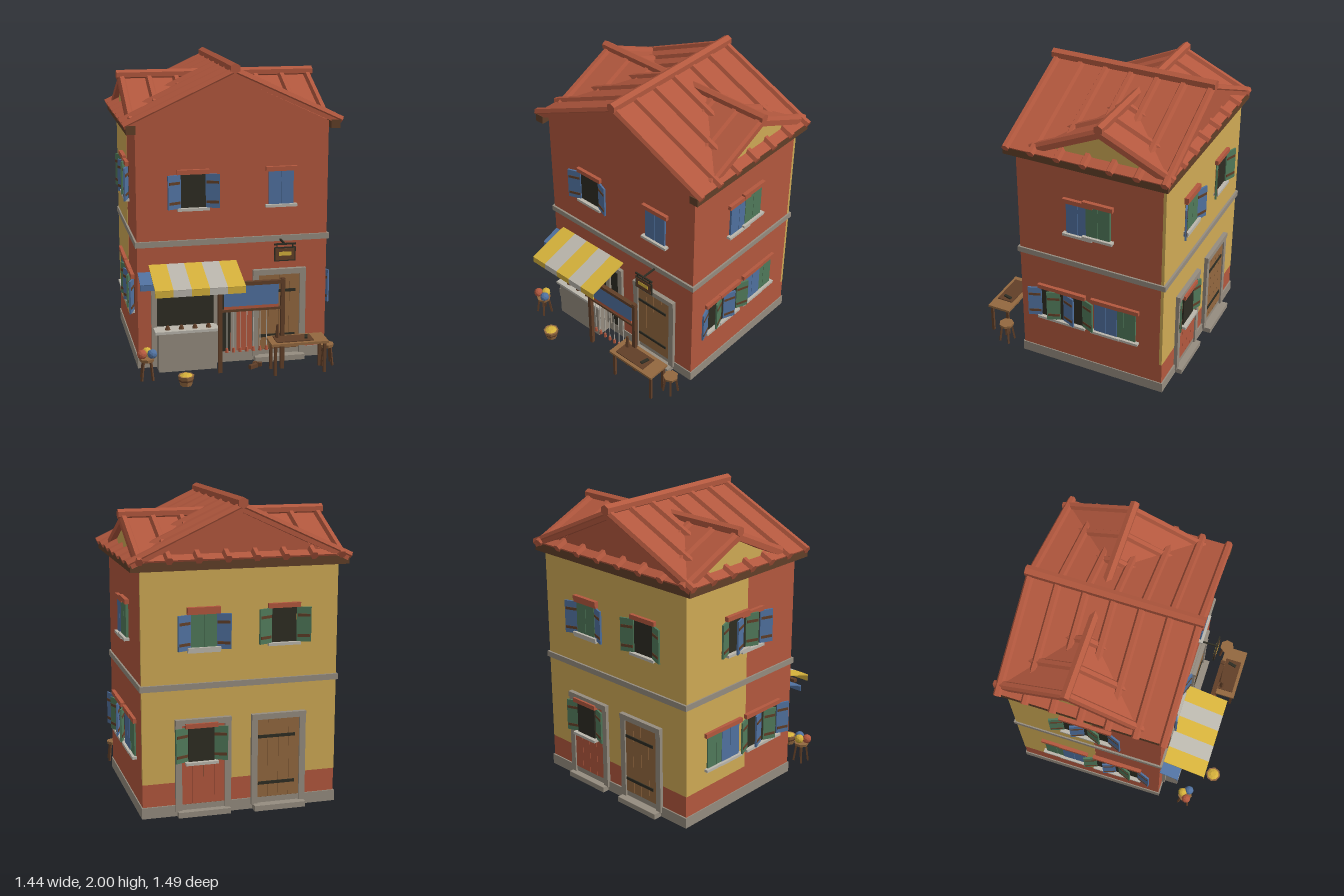
import * as THREE from 'three';

const mat = (name, color, extra = {}) => {
  const m = new THREE.MeshStandardMaterial({ color, ...extra });
  m.name = name;
  return m;
};

export function createModel() {
  const red = mat('terracotta', 0xb3583e), ochre = mat('ochre plaster', 0xcfaa55);
  const yellow = mat('bright yellow', 0xd5b13b), stone = mat('stone', 0x958c7f);
  const pale = mat('pale stone', 0xbab6ac), blue = mat('blue', 0x50719f);
  const green = mat('green', 0x50795a), wood = mat('wood', 0x93683f);
  const dark = mat('dark wood', 0x613f28), black = mat('black', 0x2e2d23);

  const model = new THREE.Group();
  model.name = 'house';
  const group = (name, parent = model) => {
    const g = new THREE.Group();
    g.name = name;
    parent.add(g);
    return g;
  };
  const add = (parent, name, geo, m, x = 0, y = 0, z = 0) => {
    const mesh = new THREE.Mesh(geo, m);
    mesh.name = name;
    mesh.position.set(x, y, z);
    parent.add(mesh);
    return mesh;
  };
  // box from its min and max along each axis
  const box = (parent, name, m, x0, x1, y0, y1, z0, z1) =>
    add(parent, name, new THREE.BoxGeometry(x1 - x0, y1 - y0, z1 - z0), m,
      (x0 + x1) / 2, (y0 + y1) / 2, (z0 + z1) / 2);
  const cyl = (r0, r1, h, n) => new THREE.CylinderGeometry(r0, r1, h, n).toNonIndexed();
  const facet = (geo) => { geo.computeVertexNormals(); return geo; };
  const prism = (pts, depth) =>
    new THREE.ExtrudeGeometry(new THREE.Shape(pts.map((p) => new THREE.Vector2(...p))),
      { depth, bevelEnabled: false });

  // ---- walls ----
  const W = 0.634, F = 0.345, B = -0.68;
  const walls = group('walls');
  add(walls, 'mainWalls', prism([[-W, 0.01], [W, 0.01], [W, 1.61], [0, 1.905], [-W, 1.61]], F + 0.66), red, 0, 0, -0.66);
  box(walls, 'backWall', ochre, -W, W, 0.22, 1.61, B, -0.66);
  box(walls, 'backWallBase', red, -W, W, 0.01, 0.22, B, -0.66);
  box(walls, 'leftWallPatch', ochre, -W - 0.003, -W, 0.22, 1.61, B, -0.12);
  const cross = prism([[-0.68, 1.6], [0.18, 1.6], [-0.25, 1.81]], 2 * W + 0.004);
  cross.rotateY(-Math.PI / 2);
  add(walls, 'sideGables', cross, ochre, W + 0.002);
  box(walls, 'plinth', stone, -W - 0.007, W + 0.007, 0, 0.072, B - 0.01, F + 0.007);
  box(walls, 'stringCourse', stone, -0.646, 0.646, 0.82, 0.858, -0.694, 0.359);

  // ---- roof: two crossing gables with tile rolls ----
  const pitch = Math.atan(0.46);
  const gableRoof = (name, half, top, length, rolls, ridgeR) => {
    const g = group(name), L = half / Math.cos(pitch);
    for (const s of [-1, 1]) {
      const slope = group('slope', g);
      slope.position.y = top;
      slope.rotation.y = s < 0 ? Math.PI : 0;
      const tilt = group('tilt', slope);
      tilt.rotation.z = -pitch;
      box(tilt, 'slab', red, -0.01, L, -0.036, 0, -length / 2, length / 2);
      for (const z of rolls) {
        const roll = add(tilt, 'tileRoll', facet(cyl(0.026, 0.026, L + 0.012, 6)), red, (L + 0.012) / 2, 0, s * z);
        roll.rotation.z = Math.PI / 2;
      }
    }
    const ridge = add(g, 'ridge', facet(cyl(ridgeR, ridgeR, length + 0.02, 6)), red, 0, top + 0.02);
    ridge.rotation.x = Math.PI / 2;
    return g;
  };
  const mainRolls = [-3, -2, -1, 0, 1, 2, 3].map((i) => i * 0.178);
  gableRoof('mainRoof', 0.7, 1.945, 1.11, mainRolls, 0.035).position.z = -0.16;
  const crossRolls = [-3.5, -2.5, -1.5, -0.5, 0.5, 1.5, 2.5, 3.5].map((i) => i * 0.184);
  const crossRoof = gableRoof('crossRoof', 0.467, 1.848, 1.34, crossRolls, 0.032);
  crossRoof.position.z = -0.25;
  crossRoof.rotation.y = Math.PI / 2;
  for (const s of [-1, 1])
    box(walls, 'eaveBoard', dark, s * 0.665 - 0.031, s * 0.665 + 0.031, 1.567, 1.622, -0.712, 0.4);
  box(walls, 'backEaveBoard', dark, -0.69, 0.69, 1.567, 1.622, -0.712, -0.67);

  // ---- windows and doors, built on a wall plane facing +z ----
  const onWall = (name, side, u, y) => {
    const g = group(name);
    if (side === 'front') g.position.set(u, y, F);
    if (side === 'back') { g.position.set(u, y, B); g.rotation.y = Math.PI; }
    if (side === 'left') { g.position.set(W, y, u); g.rotation.y = Math.PI / 2; }
    if (side === 'right') { g.position.set(-W - 0.003, y, u); g.rotation.y = -Math.PI / 2; }
    return g;
  };
  const windowAt = (side, u, y, open, colour, lift = 0) => {
    const g = onWall('window', side, u, y), w = 0.083, h = 0.222;
    box(g, 'lintel', red, -0.105, 0.105, h, h + 0.03, 0, 0.024 + lift);
    box(g, 'sill', pale, -0.105, 0.105, -0.016, 0.002, 0, 0.032 + lift);
    if (open) box(g, 'opening', black, -w, w, 0, h, 0, 0.006 + lift);
    for (const s of [-1, 1]) {
      if (!open) {
        box(g, 'shutter', colour, s * 0.042 - 0.0405, s * 0.042 + 0.0405, 0, h, 0, 0.014 + lift);
        continue;
      }
      const hinge = group('openShutter', g);
      hinge.position.set(s * w, 0, 0.008);
      hinge.rotation.y = -s * 0.36;
      const x0 = s > 0 ? 0 : -0.092;
      box(hinge, 'panel', colour, x0, x0 + 0.092, 0, h, -0.006, 0.006);
      for (const y0 of [0.03, 0.16])
        box(hinge, 'batten', dark, x0 + 0.006, x0 + 0.086, y0, y0 + 0.018, -0.009, 0.009);
    }
  };
  windowAt('front', -0.265, 1.07, true, blue);
  windowAt('front', 0.317, 1.07, false, blue);
  windowAt('back', 0.24, 1.07, true, blue);
  windowAt('back', 0.24, 1.085, false, green, 0.004);
  windowAt('back', -0.28, 1.085, true, green);
  windowAt('back', 0.26, 0.355, true, green, 0.02);
  for (const side of ['left', 'right']) {
    const open = side === 'right';
    windowAt(side, -0.09, 1.07, open, blue);
    windowAt(side, -0.23, 1.085, open, green, 0.003);
    windowAt(side, 0.11, 0.353, true, blue);
    windowAt(side, -0.03, 0.355, true, green, 0.003);
    windowAt(side, -0.28, 0.353, false, blue);
    windowAt(side, -0.41, 0.353, false, green, -0.003);
  }
  const doorAt = (side, u, colour, stepDepth) => {
    const g = onWall('door', side, u, 0);
    for (const s of [-1, 1]) box(g, 'jamb', stone, s * 0.16 - 0.02, s * 0.16 + 0.02, 0.03, 0.6, 0, 0.024);
    box(g, 'doorLintel', stone, -0.18, 0.18, 0.595, 0.632, 0, 0.03);
    box(g, 'doorBack', dark, -0.14, 0.14, 0.07, 0.595, 0, 0.008);
    for (let i = 0; i < 4; i++)
      box(g, 'plank', colour, -0.139 + i * 0.07, -0.071 + i * 0.07, 0.075, 0.595, 0, 0.014);
    if (colour === wood)
      for (const y of [0.16, 0.47]) box(g, 'strap', black, -0.135, 0.11, y, y + 0.02, 0.012, 0.02);
    box(g, 'step', stone, -0.17, 0.17, 0, 0.036, 0, stepDepth);
  };
  doorAt('front', 0.31, wood, 0.065);
  doorAt('back', -0.25, wood, 0.068);
  doorAt('back', 0.245, red, 0.055);

  // ---- shop front ----
  const shop = group('shopFront');
  box(shop, 'shopOpening', black, -0.515, -0.125, 0.2, 0.6, F, F + 0.006);
  box(shop, 'shopDoorway', black, -0.105, -0.02, 0.075, 0.6, F, F + 0.006);
  for (const x of [-0.53, -0.115, 0]) box(shop, 'shopJamb', stone, x - 0.018, x + 0.018, 0.07, 0.6, F, F + 0.022);
  box(shop, 'shopLintel', stone, -0.56, 0.02, 0.6, 0.638, F, F + 0.025);
  box(shop, 'counter', stone, -0.515, -0.13, 0, 0.262, F, 0.455);
  box(shop, 'counterTop', pale, -0.538, -0.118, 0.262, 0.28, F, 0.465);
  for (let i = 0; i < 4; i++)
    add(shop, 'goods', facet(cyl(0.01, 0.02, 0.025, 6)), dark, -0.45 + i * 0.09, 0.292, 0.42);

  // ---- awnings: sloping cloth with a hanging edge ----
  const awning = (name, x0, x1, colours, zA, yA, zB, yB, drop) => {
    const g = group(name), w = (x1 - x0) / colours.length, a = Math.atan2(yA - yB, zB - zA);
    colours.forEach((c, i) => {
      const x = x0 + (i + 0.5) * w;
      add(g, 'cloth', new THREE.BoxGeometry(w, 0.007, Math.hypot(zB - zA, yA - yB)), c, x, (yA + yB) / 2, (zA + zB) / 2).rotation.x = a;
      box(g, 'valance', c, x - w / 2, x + w / 2, yB - drop, yB + 0.002, zB - 0.006, zB);
    });
  };
  awning('stripedAwning', -0.56, 0.02, [yellow, pale, yellow, pale, yellow], F, 0.7, 0.643, 0.613, 0.043);
  awning('blueAwning', -0.632, -0.2, [blue], F, 0.652, 0.475, 0.606, 0.038);

  // ---- post frame with hanging cloth and strings ----
  const frame = group('postFrame');
  for (const x of [-0.125, 0.29]) box(frame, 'post', dark, x - 0.013, x + 0.013, 0, 0.62, 0.517, 0.543);
  box(frame, 'topBeam', dark, -0.54, 0.305, 0.586, 0.61, 0.515, 0.545);
  box(frame, 'lowBeam', dark, -0.13, 0.3, 0.412, 0.428, 0.52, 0.54);
  box(frame, 'hangingCloth', blue, -0.1, 0.262, 0.447, 0.586, 0.526, 0.534);
  box(frame, 'clothHem', red, -0.1, 0.262, 0.428, 0.447, 0.526, 0.534);
  for (let i = 0; i < 7; i++) {
    const x = -0.08 + i * 0.044;
    box(frame, 'string', pale, x - 0.002, x + 0.002, 0.16, 0.415, 0.528, 0.532);
    add(frame, 'hangingFloat', facet(cyl(0.008, 0.012, 0.03, 6)), red, x, 0.15, 0.53);
  }

  // ---- hanging sign ----
  const sign = group('hangingSign');
  box(sign, 'bracket', black, 0.31, 0.32, 0.825, 0.836, F, 0.475);
  box(sign, 'crossBar', black, 0.245, 0.39, 0.823, 0.834, 0.46, 0.47);
  for (const x of [0.265, 0.37]) box(sign, 'chain', black, x - 0.003, x + 0.003, 0.8, 0.825, 0.462, 0.468);
  box(sign, 'signEdge', black, 0.246, 0.39, 0.714, 0.808, 0.461, 0.469);
  box(sign, 'signBoard', dark, 0.254, 0.382, 0.722, 0.8, 0.458, 0.472);
  box(sign, 'signPanel', yellow, 0.276, 0.36, 0.752, 0.778, 0.456, 0.474);

  // ---- table and things on it ----
  const table = group('table');
  box(table, 'tableTop', wood, 0.185, 0.565, 0.204, 0.22, 0.507, 0.673);
  for (const x of [0.215, 0.545]) for (const z of [0.53, 0.652])
    box(table, 'tableLeg', dark, x - 0.009, x + 0.009, 0, 0.204, z - 0.009, z + 0.009);
  box(table, 'tableMat', dark, 0.225, 0.472, 0.22, 0.226, 0.535, 0.65);
  add(table, 'jar', facet(cyl(0.008, 0.016, 0.095, 6)), dark, 0.25, 0.268, 0.56);
  box(table, 'tool', black, 0.425, 0.445, 0.226, 0.236, 0.56, 0.62).rotation.y = -0.25;

  // ---- stools, balls, bucket, wood scraps ----
  const stool = (x, z) => {
    const g = group('stool');
    g.position.set(x, 0, z);
    add(g, 'seat', facet(cyl(0.052, 0.048, 0.02, 7)), wood, 0, 0.132);
    for (let i = 0; i < 4; i++) {
      const a = i * Math.PI / 2 + 0.7, turn = group('legTurn', g);
      turn.rotation.y = a;
      add(turn, 'stoolLeg', new THREE.BoxGeometry(0.013, 0.13, 0.013), dark, 0.042, 0.063).rotation.z = 0.14;
    }
    return g;
  };
  stool(0.598, 0.51);
  const display = stool(-0.605, 0.54);
  [[yellow, 0.003, -0.022], [red, -0.034, 0.016], [blue, 0.032, 0.02]].forEach(([m, x, z]) =>
    add(display, 'ball', facet(new THREE.IcosahedronGeometry(0.032, 1)), m, x, 0.174, z));
  const bucket = group('bucket');
  bucket.position.set(-0.377, 0, 0.692);
  add(bucket, 'pail', facet(cyl(0.053, 0.038, 0.066, 8)), wood, 0, 0.033);
  add(bucket, 'hoop', facet(cyl(0.05, 0.047, 0.012, 8)), dark, 0, 0.036);
  add(bucket, 'filling', facet(cyl(0.02, 0.046, 0.012, 8)), yellow, 0, 0.07);
  [[0.14, 0.462, -0.4], [0.105, 0.497, 0.5]].forEach(([x, z, a]) =>
    (add(model, 'woodScrap', new THREE.BoxGeometry(0.06, 0.026, 0.024), dark, x, 0.013, z).rotation.y = a));

  return model;
}
